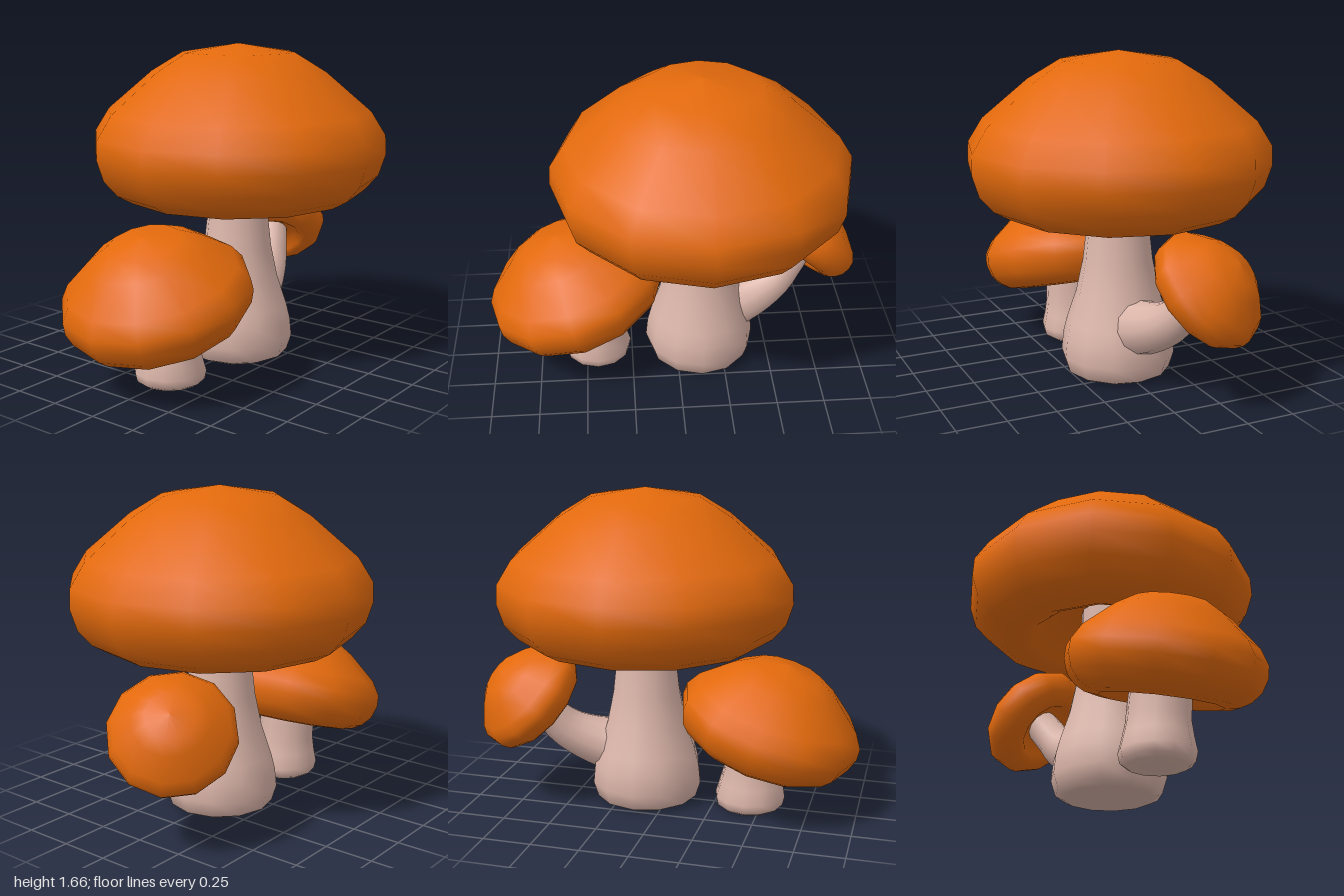
import * as THREE from 'three';

const SIDES = 12;

// Cap profile [radius, height above lip]: hollow underside, rolled rim, dome
const CAP = [[0, 0.19], [0.2, 0.17], [0.35, 0.11], [0.41, 0.03], [0.48, 0], [0.585, 0.015], [0.665, 0.06],
  [0.735, 0.14], [0.77, 0.25], [0.765, 0.35], [0.69, 0.47], [0.455, 0.67], [0.29, 0.77], [0, 0.815]];

function lathe(profile) {
  return new THREE.LatheGeometry(profile.map(([r, y]) => new THREE.Vector2(r, y)), SIDES);
}

// Tube whose radius runs through the given list along the path
function taperedTube(points, radii) {
  const rings = 12;
  const curve = new THREE.CatmullRomCurve3(points.map((p) => new THREE.Vector3(...p)));
  const geometry = new THREE.TubeGeometry(curve, rings, 1, SIDES);
  const pos = geometry.attributes.position;
  const v = new THREE.Vector3();
  for (let i = 0; i < pos.count; i++) {
    const t = Math.floor(i / (SIDES + 1)) / rings;
    const s = t * (radii.length - 1);
    const k = Math.min(Math.floor(s), radii.length - 2);
    const radius = THREE.MathUtils.lerp(radii[k], radii[k + 1], s - k);
    const centre = curve.getPointAt(t);
    v.fromBufferAttribute(pos, i).sub(centre).multiplyScalar(radius).add(centre);
    pos.setXYZ(i, v.x, v.y, v.z);
  }
  return geometry;
}

export function createModel() {
  const model = new THREE.Group();
  const capOrange = new THREE.MeshStandardMaterial({ color: 0xe2690c });
  capOrange.name = 'capOrange';
  const stemPink = new THREE.MeshStandardMaterial({ color: 0xdcb6aa });
  stemPink.name = 'stemPink';

  function add(name, geometry, material, parent) {
    const mesh = new THREE.Mesh(geometry, material);
    mesh.name = name;
    parent.add(mesh);
    return mesh;
  }
  function mushroom(name) {
    const group = new THREE.Group();
    group.name = name;
    model.add(group);
    return group;
  }
  // Cap with its lip centred at a point and its axis along a direction
  function addCap(parent, scale, position, axis) {
    const cap = add('cap', lathe(CAP), capOrange, parent);
    cap.scale.setScalar(scale);
    cap.position.set(...position);
    cap.quaternion.setFromUnitVectors(new THREE.Vector3(0, 1, 0), new THREE.Vector3(...axis).normalize());
  }

  // Large upright mushroom
  const large = mushroom('largeMushroom');
  addCap(large, 1, [0, 0.85, -0.127], [0, 1, 0]);
  add('stem', lathe([[0, 0], [0.23, 0], [0.27, 0.02], [0.295, 0.1], [0.285, 0.2], [0.265, 0.28], [0.215, 0.43],
    [0.18, 0.6], [0.16, 0.78], [0.15, 0.9], [0.15, 1.05]]), stemPink, large).position.z = -0.125;

  // Front mushroom, tipped forward on a stem that bends towards the front
  const front = mushroom('frontMushroom');
  addCap(front, 0.623, [0, 0.3, 0.485], [0, 0.954, 0.299]);
  const bent = lathe([[0, 0], [0.145, 0], [0.175, 0.02], [0.185, 0.065], [0.168, 0.14], [0.155, 0.21],
    [0.152, 0.3], [0.148, 0.37], [0.14, 0.46]]);
  const pos = bent.attributes.position;
  for (let i = 0; i < pos.count; i++) pos.setZ(i, pos.getZ(i) + 0.33 * pos.getY(i) ** 2);
  add('stem', bent, stemPink, front).position.z = 0.44;

  // Small mushroom sprouting from the back of the large stem
  const back = mushroom('backMushroom');
  addCap(back, 0.405, [-0.14, 0.5, -0.647], [-0.45, 0.68, -0.58]);
  add('stem', taperedTube([[0, 0.27, -0.2], [-0.04, 0.3, -0.38], [-0.09, 0.375, -0.54], [-0.14, 0.49, -0.645],
    [-0.18, 0.57, -0.7]], [0.155, 0.14, 0.115, 0.095, 0.09]), stemPink, back);

  return model;
}
